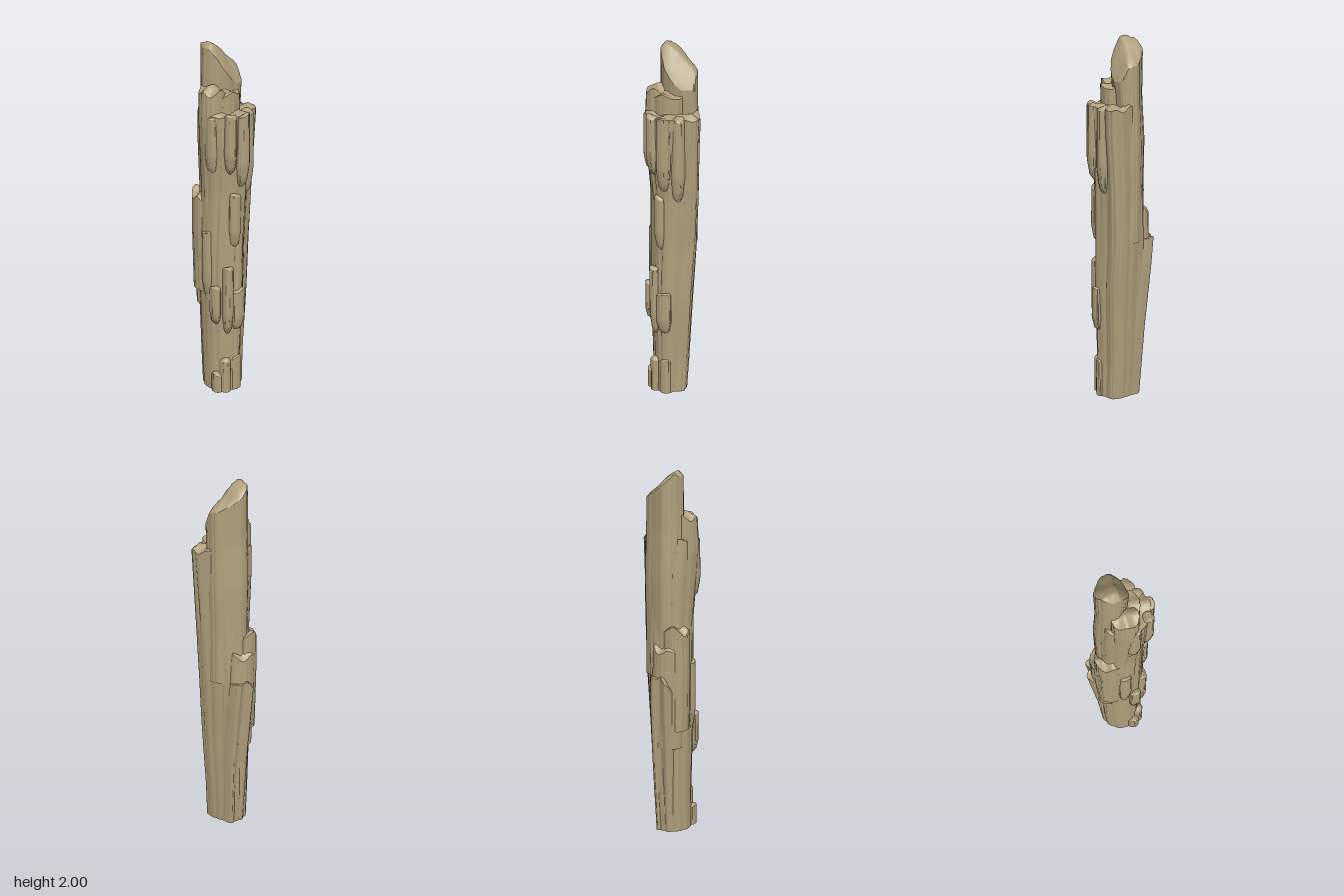
import * as THREE from 'three';

const wood = new THREE.MeshStandardMaterial({ color: 0xb09f7c });
wood.name = 'weathered wood';

const SIDES = 96;

// Depth of the wood grain (0..1): narrow cracks that wander with height
function grain(a, y, seed) {
  const crack = (k, twist, p) => Math.pow(1 - Math.abs(Math.sin(k * a + twist * y + p + 0.3 * Math.sin(5 * y + p))), 3);
  const swell = 0.5 + 0.5 * Math.sin(3 * a + 2.1 * y + seed);
  return 0.5 * crack(3.5 * 2, 0.5, seed) + 0.35 * crack(5.5 * 2, -0.4, seed * 2.3) + 0.3 * swell;
}

// Interpolates the rows [y, x0, x1, z0, z1] at height y
function boundsAt(rows, y) {
  let i = 0;
  while (i < rows.length - 2 && y > rows[i + 1][0]) i++;
  const a = rows[i], b = rows[i + 1];
  const t = THREE.MathUtils.clamp((y - a[0]) / (b[0] - a[0]), 0, 1);
  return a.map((v, k) => v + (b[k] - v) * t);
}

// Lofts a closed plan outline through the rows, ending in a broken top
function splinter(name, plan, rows, { top, depth = 0.09, seed = 1, steps = 40, jag = 0.008 }) {
  const curve = new THREE.CatmullRomCurve3(plan.map(([x, z]) => new THREE.Vector3(x, 0, z)), true);
  const pts = curve.getPoints(SIDES).slice(0, SIDES);
  const box = new THREE.Box3().setFromPoints(pts);
  const unit = pts.map(p => [(p.x - box.min.x) / (box.max.x - box.min.x), (p.z - box.min.z) / (box.max.z - box.min.z)]);
  const yLow = rows[0][0], yHigh = rows[rows.length - 1][0];
  const pos = [], idx = [];
  let rings = 0;

  const ring = (t, shrink, joined) => {
    const y = yLow + (yHigh - yLow) * t;
    const [, x0, x1, z0, z1] = boundsAt(rows, y);
    const cx = (x0 + x1) / 2, cz = (z0 + z1) / 2;
    unit.forEach(([u, v], i) => {
      const a = i / SIDES * Math.PI * 2;
      const s = shrink * (1 - depth * grain(a, y, seed));
      const x = cx + (x0 + (x1 - x0) * u - cx) * s;
      const z = cz + (z0 + (z1 - z0) * v - cz) * s;
      const rough = jag * (Math.sin(60 * x + seed) + Math.sin(75 * z + 2 * seed));
      const end = (top ? top(x, z) : yHigh) + rough - 0.012 * Math.pow(shrink, 6);
      pos.push(x, yLow + (end - yLow) * t, z);
    });
    if (joined) {
      const r = (rings - 1) * SIDES;
      for (let i = 0; i < SIDES; i++) {
        const a = r + i, b = r + (i + 1) % SIDES;
        idx.push(a, a + SIDES, b, b, a + SIDES, b + SIDES);
      }
    }
    rings++;
  };

  // Flat base, then the sides, then the broken end
  [0.001, 1].forEach((s, i) => ring(0, s, i > 0));
  for (let i = 0; i <= steps; i++) ring(i / steps, 1, i > 0);
  [1, 0.93, 0.75, 0.5, 0.25, 0.001].forEach((s, i) => ring(1, s, i > 0));

  const geometry = new THREE.BufferGeometry();
  geometry.setAttribute('position', new THREE.Float32BufferAttribute(pos, 3));
  geometry.setIndex(idx);
  geometry.computeVertexNormals();
  const mesh = new THREE.Mesh(geometry, wood);
  mesh.name = name;
  return mesh;
}

const OVAL = [[1, 0], [0.75, 0.7], [0, 1], [-0.75, 0.7], [-1, 0], [-0.7, -0.75], [0, -1], [0.7, -0.75]];

// A small raised sliver that tapers into the trunk at its lower end
function chip(name, x, z, w, d, low, high, seed) {
  const row = (y, k, inward) => {
    const cx = x * inward, cz = z * inward;
    return [y, cx - w * k, cx + w * k, cz - d * k, cz + d * k];
  };
  const h = high - low;
  const rows = low === 0
    ? [row(0, 1, 1), row(high, 1, 1)]
    : [row(low, 0.15, 0.85), row(low + h * 0.12, 0.7, 0.97), row(low + h * 0.35, 1, 1), row(high, 0.95, 1)];
  return splinter(name, OVAL, rows, { seed, steps: 16, depth: 0.12, jag: 0.006 });
}

export function createModel() {
  const model = new THREE.Group();
  model.name = 'splinteredPost';

  // Main trunk, widening upwards
  model.add(splinter('trunk',
    [[0.16, 0.04], [0.155, 0.095], [0.09, 0.125], [0.02, 0.17], [-0.06, 0.15], [-0.125, 0.1],
      [-0.155, 0.01], [-0.1, -0.085], [-0.03, -0.11], [0.06, -0.1], [0.11, -0.05]],
    [[0, -0.125, 0.09, -0.1, 0.138], [0.2, -0.125, 0.1, -0.115, 0.135], [0.6, -0.135, 0.122, -0.13, 0.148],
      [0.9, -0.14, 0.138, -0.135, 0.145], [1.2, -0.135, 0.15, -0.12, 0.15], [1.5, -0.155, 0.158, -0.115, 0.17],
      [1.65, -0.16, 0.165, -0.105, 0.17]],
    { seed: 1.3, steps: 80, depth: 0.1 }));

  // Tall slanted spire at the back
  model.add(splinter('spire',
    [[0.115, -0.02], [0.11, 0.02], [0.03, 0.045], [-0.04, 0.03], [-0.085, -0.04], [-0.06, -0.1],
      [-0.01, -0.13], [0.06, -0.1], [0.1, -0.07]],
    [[0.9, -0.1, 0.12, -0.13, 0.04], [1.2, -0.1, 0.12, -0.13, 0.04], [1.5, -0.1, 0.125, -0.135, 0.045],
      [1.75, -0.1, 0.12, -0.122, 0.04], [2, -0.095, 0.118, -0.125, 0.055]],
    { seed: 2.2, depth: 0.07, jag: 0.004,
      top: (x, z) => 2.005 - 0.85 * Math.max(0, x + 0.06) - 1.2 * Math.max(0, -0.07 - x)
        - 2 * Math.max(0, z + 0.01) - 0.8 * Math.max(0, -0.09 - z) }));

  // Stepped ledges between trunk and spire
  model.add(splinter('sideLedge', OVAL,
    [[1.3, -0.135, -0.01, -0.06, 0.09], [1.6, -0.16, -0.01, -0.06, 0.09], [1.77, -0.152, -0.02, -0.06, 0.085]],
    { seed: 0.4, steps: 16, jag: 0.01 }));
  model.add(splinter('frontLedge', OVAL,
    [[1.3, -0.11, 0.06, -0.02, 0.1], [1.75, -0.1, 0.065, -0.02, 0.105]],
    { seed: 3.1, steps: 16, jag: 0.008 }));

  // Broken slabs on the back
  model.add(splinter('backSlab',
    [[0.06, 0], [0, 0.06], [-0.07, 0], [-0.075, -0.1], [-0.04, -0.18], [0, -0.15], [0.035, -0.17], [0.06, -0.09]],
    [[0, -0.07, 0.055, -0.105, 0], [0.4, -0.08, 0.07, -0.135, 0], [0.75, -0.085, 0.07, -0.175, 0],
      [0.9, -0.085, 0.06, -0.19, 0]],
    { seed: 4.2, depth: 0.06, top: x => 0.915 + 1.3 * Math.min(0, x + 0.02) }));
  model.add(splinter('middleBackSlab', OVAL,
    [[0.5, -0.11, 0.06, -0.14, 0], [0.9, -0.11, 0.06, -0.165, 0], [1.07, -0.11, 0.05, -0.165, 0]],
    { seed: 5, steps: 20, depth: 0.08, jag: 0.012 }));
  model.add(splinter('upperBackSlab', OVAL,
    [[0.6, -0.135, 0, -0.135, 0.02], [1.0, -0.14, 0.01, -0.145, 0.02], [1.17, -0.137, 0.01, -0.147, 0.02]],
    { seed: 6, steps: 20, depth: 0.1, jag: 0.014 }));

  // Slivers: x, z, half width, half depth, lower end, upper end
  [
    ['frontSliver', 0.0, 0.15, 0.04, 0.04, 1.22, 1.65],
    ['frontSliver', -0.07, 0.135, 0.035, 0.035, 1.31, 1.65],
    ['frontSliver', 0.065, 0.115, 0.04, 0.035, 1.15, 1.64],
    ['frontSliver', -0.03, 0.125, 0.035, 0.033, 0.87, 1.2],
    ['frontSliver', -0.01, 0.13, 0.045, 0.033, 0.37, 0.64],
    ['frontSliver', -0.07, 0.115, 0.03, 0.035, 0.35, 0.78],
    ['sideSliver', -0.12, 0.07, 0.028, 0.035, 0.42, 0.66],
    ['sideSliver', -0.115, 0.01, 0.035, 0.04, 0.55, 0.98],
    ['sideSliver', -0.125, 0.05, 0.032, 0.04, 1.3, 1.64],
    ['sideSliver', -0.11, -0.05, 0.03, 0.035, 0.7, 1.05],
    ['baseSliver', -0.105, 0.07, 0.032, 0.035, 0, 0.12],
    ['baseSliver', -0.075, 0.1, 0.03, 0.033, 0, 0.2],
    ['baseSliver', -0.01, 0.11, 0.035, 0.03, 0, 0.21],
  ].forEach(([name, ...size], i) => model.add(chip(name + (i + 1), ...size, i * 1.7)));

  return model;
}
